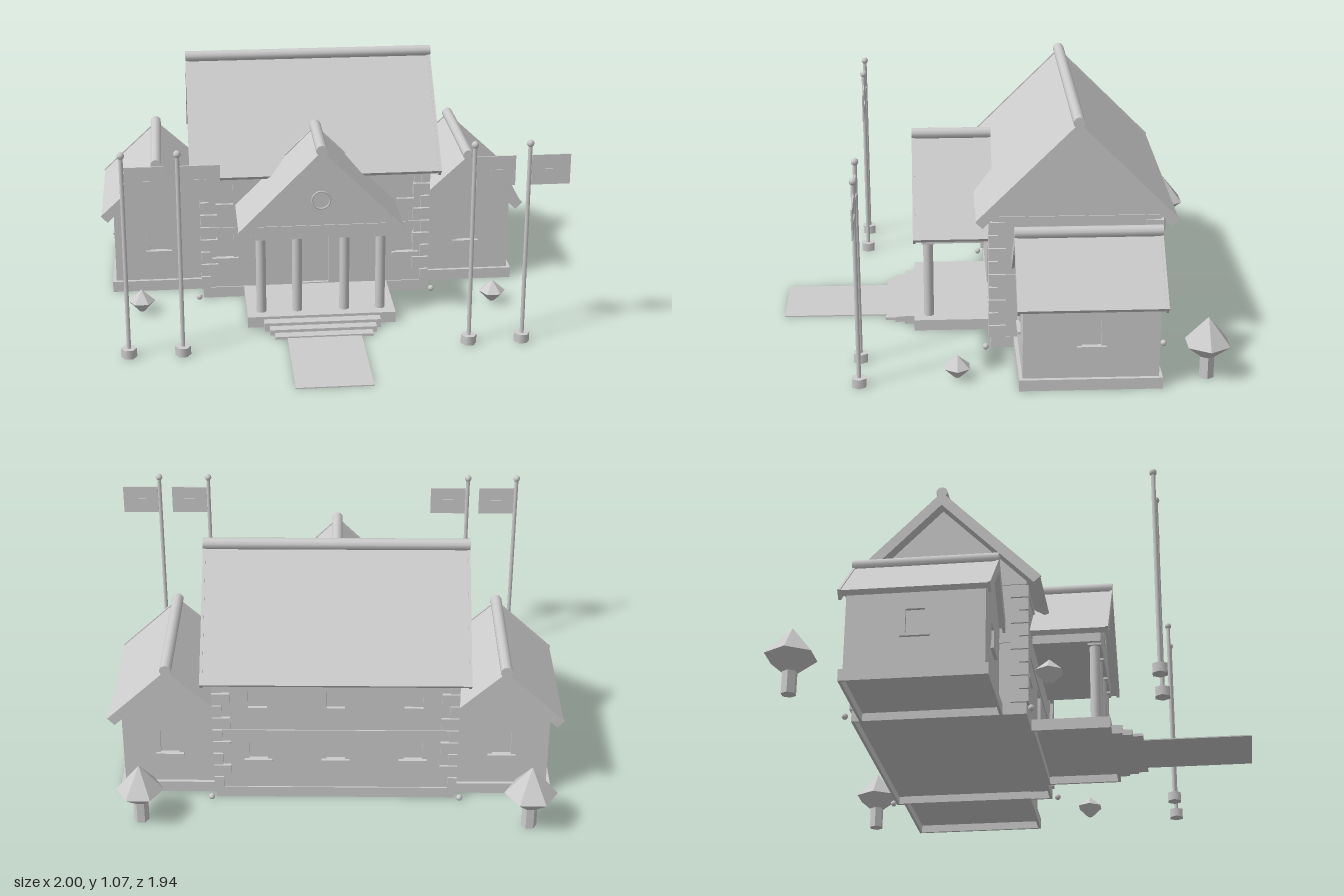
import * as THREE from 'three';

const stone = new THREE.MeshStandardMaterial({ color: 0xcccccc });
stone.name = 'light grey';

function add(parent, name, geometry, x = 0, y = 0, z = 0) {
  const mesh = new THREE.Mesh(geometry, stone);
  mesh.name = name;
  mesh.position.set(x, y, z);
  parent.add(mesh);
  return mesh;
}

function group(parent, name, x = 0, y = 0, z = 0, turn = 0) {
  const g = new THREE.Group();
  g.name = name;
  g.position.set(x, y, z);
  g.rotation.y = turn;
  parent.add(g);
  return g;
}

const box = (parent, name, w, h, d, x, y, z) =>
  add(parent, name, new THREE.BoxGeometry(w, h, d), x, y, z);

// Flat-sided round parts
const prism = (top, bottom, h, sides) =>
  new THREE.CylinderGeometry(top, bottom, h, sides).rotateY(Math.PI / 6).toNonIndexed();

const toPoints = list => list.map(p => new THREE.Vector2(...p));

// Extrusion centred on z, with rectangular holes [x, y, w, h] given by their centres
function extrude(points, depth, holes = []) {
  const shape = new THREE.Shape(toPoints(points));
  for (const [x, y, w, h] of holes)
    shape.holes.push(new THREE.Path(toPoints([
      [x - w / 2, y - h / 2], [x - w / 2, y + h / 2], [x + w / 2, y + h / 2], [x + w / 2, y - h / 2]
    ])));
  return new THREE.ExtrudeGeometry(shape, { depth, bevelEnabled: false })
    .translate(0, 0, -depth / 2);
}

// Roof slab with its ridge along z, open below
function chevron(apex, run, rise, t, depth) {
  const len = Math.hypot(run, rise);
  const dx = t * rise / len, dy = t * run / len, drop = t * len / run;
  const eave = apex - rise;
  return extrude([
    [0, apex], [-run, eave], [-run + dx, eave - dy], [0, apex - drop],
    [run - dx, eave - dy], [run, eave]
  ], depth);
}

// Roof with end boards and a faceted ridge cap
function roof(parent, apex, run, rise, length) {
  add(parent, 'roofSlab', chevron(apex - 0.006, run - 0.004, rise - 0.004, 0.024, length - 0.02));
  for (const s of [-1, 1])
    add(parent, 'gableBoard', chevron(apex, run, rise, 0.044, 0.012), 0, 0, s * (length / 2 - 0.006));
  add(parent, 'ridgeCap', new THREE.CylinderGeometry(0.025, 0.025, length, 10).toNonIndexed()
    .rotateX(Math.PI / 2), 0, apex, 0);
}

const FACE = 0.015;
const gable = (half, bottom, eave, apex) =>
  [[-half, bottom], [half, bottom], [half, eave], [0, apex], [-half, eave]];
const rect = (half, bottom, top) =>
  [[-half, bottom], [half, bottom], [half, top], [-half, top]];

// Wall facing with recessed openings; low windows get a sill
function facing(parent, points, holes, x, z, turn) {
  const g = group(parent, 'wallFacing', x, 0, z, turn);
  add(g, 'wallPanel', extrude(points, FACE, holes), 0, 0, -FACE / 2);
  for (const [hx, hy, w, h] of holes)
    if (hy > 0.2 && hy < 0.3) box(g, 'windowSill', w + 0.04, 0.012, 0.024, hx, hy - h / 2 - 0.004, 0.002);
}

// Footing ring with a raised floor inside
function footing(parent, name, w, d, x, z) {
  const g = group(parent, name, x, 0, z);
  for (const s of [-1, 1]) {
    box(g, 'footingSide', 0.012, 0.05, d, s * (w / 2 - 0.006), 0.025, 0);
    box(g, 'footingEnd', w - 0.024, 0.05, 0.012, 0, 0.025, s * (d / 2 - 0.006));
  }
  box(g, 'floor', w - 0.024, 0.015, d - 0.024, 0, 0.0425, 0);
}

const CX = -0.024, CZ = -0.32;

function buildMain(model) {
  const main = group(model, 'mainHall', CX, 0, CZ);
  const shell = group(main, 'hallShell', 0, 0, 0, Math.PI / 2);
  const halfX = 0.512, halfZ = 0.362;
  add(shell, 'wallCore', extrude(gable(halfZ - FACE, 0.04, 0.62, 0.967), 2 * (halfX - FACE)));
  roof(shell, 1.047, 0.435, 0.435, 1.13);
  footing(main, 'hallFooting', 1.03, 0.735, 0, 0);
  box(main, 'beltCourse', 1.034, 0.018, 0.734, 0, 0.336, 0);
  box(main, 'eaveTrim', 1.034, 0.016, 0.734, 0, 0.607, 0);

  // Recessed windows and entrance
  const wall = rect(halfX, 0.04, 0.62);
  const upper = x => [x, 0.51, 0.08, 0.11];
  const lower = x => [x, 0.252, 0.08, 0.115];
  facing(main, wall, [-0.33, 0, 0.33].flatMap(x => [upper(x), lower(x)]), 0, -halfZ, Math.PI);
  facing(main, wall, [upper(-0.412), upper(0.412), lower(-0.412), lower(0.412), [0, 0.185, 0.12, 0.26]],
    0, halfZ, 0);
  for (const s of [-1, 1])
    facing(main, gable(halfZ, 0.04, 0.62, 0.98), [-0.2, 0, 0.2].map(upper),
      s * halfX, 0, s * Math.PI / 2);

  // Alternating corner stones and drain spouts
  for (const sx of [-1, 1]) for (const sz of [-1, 1]) {
    for (let i = 0; i < 9; i++) {
      const a = i % 2 ? 0.075 : 0.04, b = i % 2 ? 0.04 : 0.075;
      box(main, 'cornerStone', a, 0.055, b,
        sx * (0.522 - a / 2), 0.08 + i * 0.0605, sz * (0.376 - b / 2));
    }
    add(main, 'drainSpout', new THREE.SphereGeometry(0.014, 8, 6), sx * 0.535, 0.016, sz * 0.39);
  }
}

function buildWing(model, name, x, side) {
  const wing = group(model, name, x, 0, -0.353);
  const outline = [0.2, 0.04, 0.385, 0.567];
  const opening = [[0, 0.252, 0.08, 0.115]];
  const core = extrude(gable(0.2 - FACE, 0.04, 0.385, 0.553), 0.57 - 2 * FACE);
  add(wing, 'wallCore', core);
  facing(wing, gable(...outline), opening, 0, 0.285, 0);
  facing(wing, gable(...outline), opening, 0, -0.285, Math.PI);
  facing(wing, rect(0.285, 0.04, 0.385), opening, side * 0.2, 0, side * Math.PI / 2);
  roof(wing, 0.623, 0.258, 0.24, 0.62);
  footing(wing, 'wingFooting', 0.434, 0.6, 0, 0);
}

function buildPorch(model) {
  const porch = group(model, 'porch', CX, 0, 0);
  const top = group(porch, 'porchRoof', 0, 0, 0.204);
  roof(top, 0.82, 0.367, 0.367, 0.354);
  add(porch, 'pediment', extrude([[-0.29, 0.46], [0.29, 0.46], [0, 0.755]], 0.3), 0, 0, 0.19);
  box(porch, 'entablature', 0.62, 0.052, 0.295, 0, 0.438, 0.197);
  add(porch, 'pedimentRing', new THREE.TorusGeometry(0.04, 0.004, 6, 20), 0, 0.58, 0.34);
  footing(porch, 'porchFooting', 0.658, 0.335, 0, 0.213);

  // Columns
  for (const x of [-0.265, -0.105, 0.105, 0.265]) {
    add(porch, 'column', new THREE.CylinderGeometry(0.022, 0.022, 0.355, 12), x, 0.2275, 0.315);
    box(porch, 'columnCap', 0.058, 0.012, 0.058, x, 0.408, 0.315);
  }
  // Steps and path
  [[0.515, 0.038, 0.425], [0.47, 0.025, 0.467], [0.43, 0.012, 0.51]].forEach(([w, h, front]) =>
    box(porch, 'step', w, h, front - 0.38, 0, h / 2, (front + 0.38) / 2));
  box(porch, 'path', 0.326, 0.005, 0.46, 0, 0.0025, 0.74);
}

function buildFlagpole(model, x) {
  const pole = group(model, 'flagpole', x, 0, 0.612);
  add(pole, 'poleBase', prism(0.034, 0.034, 0.04, 6), 0, 0.02, 0);
  add(pole, 'pole', new THREE.CylinderGeometry(0.009, 0.009, 0.87, 8), 0, 0.47, 0);
  add(pole, 'poleBall', new THREE.SphereGeometry(0.016, 10, 8), 0, 0.912, 0);
  box(pole, 'flag', 0.165, 0.132, 0.006, 0.092, 0.794, 0);
  box(pole, 'flagPatch', 0.05, 0.012, 0.014, 0.092, 0.794, 0);
}

// Faceted crown: six-sided upper and lower cones
function buildPlant(model, name, x, z, r, low, mid, high, trunk) {
  const plant = group(model, name, x, 0, z);
  const flat = (top, bottom, h) => {
    const g = prism(top, bottom, h, 6);
    g.computeVertexNormals();
    return g;
  };
  add(plant, 'crownTop', flat(0, r, high - mid), 0, (high + mid) / 2, 0);
  add(plant, 'crownBottom', flat(r, 0.012, mid - low), 0, (mid + low) / 2, 0);
  if (trunk) add(plant, 'trunk', flat(0.032, 0.032, 0.11), 0, 0.055, 0);
}

export function createModel() {
  const model = new THREE.Group();
  model.name = 'columnedHall';
  buildMain(model);
  buildWing(model, 'leftWing', 0.69, 1);
  buildWing(model, 'rightWing', -0.738, -1);
  buildPorch(model);
  for (const x of [-0.872, -0.642, 0.593, 0.826]) buildFlagpole(model, x);
  buildPlant(model, 'tree', -0.845, -0.877, 0.112, 0.08, 0.165, 0.295, true);
  buildPlant(model, 'tree', 0.8, -0.852, 0.102, 0.08, 0.155, 0.275, true);
  buildPlant(model, 'bush', -0.82, 0.172, 0.06, 0.005, 0.056, 0.11, false);
  buildPlant(model, 'bush', 0.772, 0.2, 0.06, 0.005, 0.053, 0.105, false);
  return model;
}
